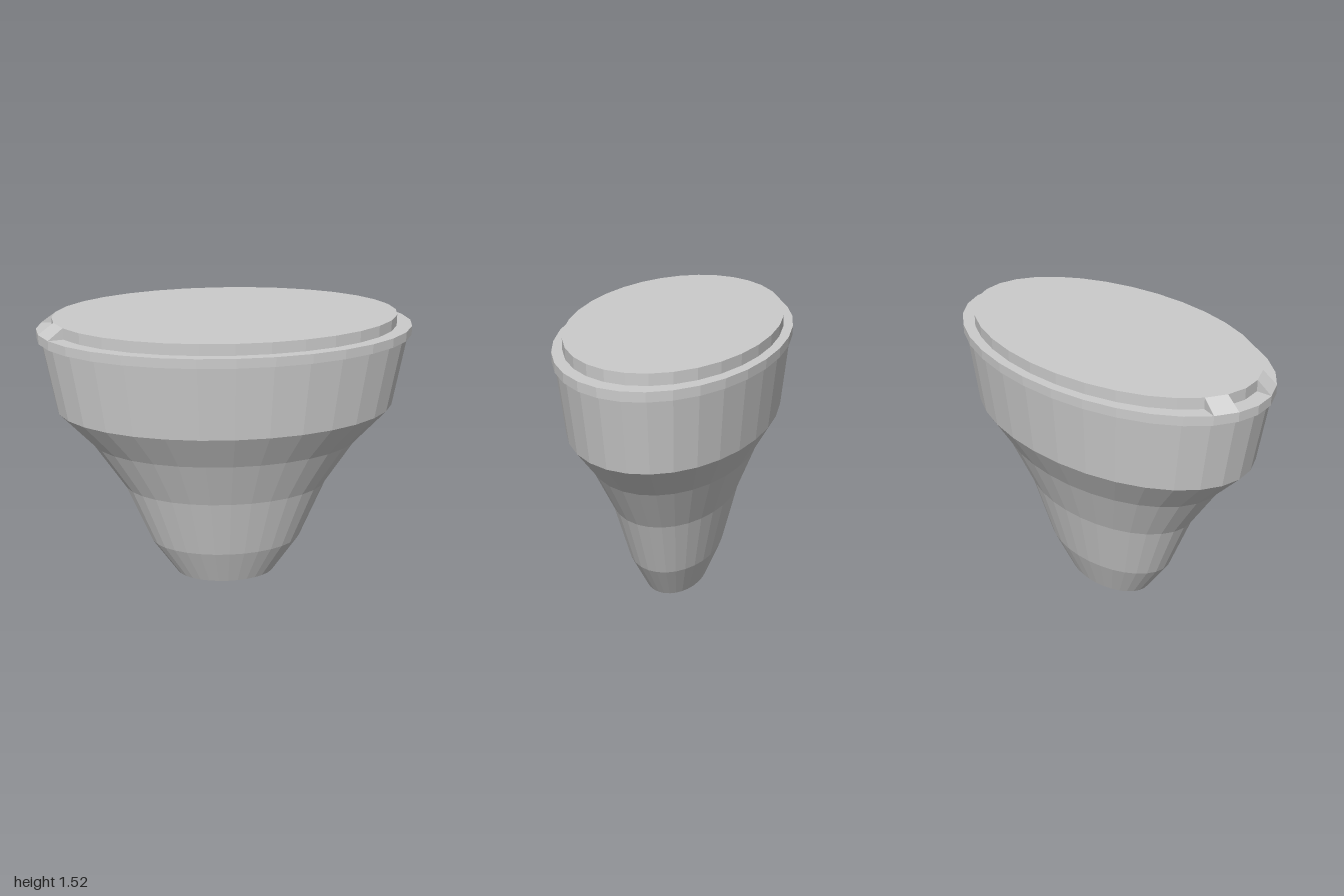
import * as THREE from 'three';

const SIDES = 32, DEPTH = 0.6;           // oval plan: z is 0.6 of x
const RIM = 1, LID = 0.917, LEDGE_Y = 1.465, TOP_Y = 1.525;

export function createModel() {
  const group = new THREE.Group();
  const material = new THREE.MeshStandardMaterial({ color: 0xcccccc, flatShading: true });

  const add = (name, geometry) => {
    const mesh = new THREE.Mesh(geometry, material);
    mesh.name = name;
    group.add(mesh);
  };

  // Faceted oval shell turned from an [x radius, height] profile, bottom to top
  const oval = (profile) => {
    const points = profile.map(([r, y]) => new THREE.Vector2(r, y));
    const geometry = new THREE.LatheGeometry(points, SIDES).scale(1, 1, DEPTH).toNonIndexed();
    geometry.computeVertexNormals();
    return geometry;
  };

  // Tapering body with its flat foot
  add('body', oval([[0, 0], [0.28, 0], [0.425, 0.215], [0.565, 0.56],
    [0.735, 0.825], [0.915, 1.02], [0.98, 1.415]]));

  // Projecting rim and the ledge on top of it
  add('rim', oval([[0.98, 1.415], [RIM, 1.415], [RIM, LEDGE_Y], [LID, LEDGE_Y]]));

  // Raised flat lid
  add('lid', oval([[LID, LEDGE_Y], [LID, TOP_Y], [0, TOP_Y]]));

  // Small ramp from the ledge up to the lid, one facet wide, on the -x end
  const ramp = (from, to) => {
    const at = (step, r, y) => {
      const a = step * 2 * Math.PI / SIDES;
      return [-r * Math.cos(a), y, r * DEPTH * Math.sin(a)];
    };
    const [outA, outB] = [from, to].map((s) => at(s, RIM, LEDGE_Y));
    const [highA, highB] = [from, to].map((s) => at(s, LID, TOP_Y));
    const [lowA, lowB] = [from, to].map((s) => at(s, LID, LEDGE_Y));
    const corners = [
      outA, outB, highB, outA, highB, highA,   // slope
      lowA, outA, highA, lowB, highB, outB,    // triangular cheeks
    ];
    const geometry = new THREE.BufferGeometry();
    geometry.setAttribute('position', new THREE.Float32BufferAttribute(corners.flat(), 3));
    geometry.computeVertexNormals();
    return geometry;
  };
  add('frontRamp', ramp(1, 2));
  add('backRamp', ramp(-2, -1));

  return group;
}
